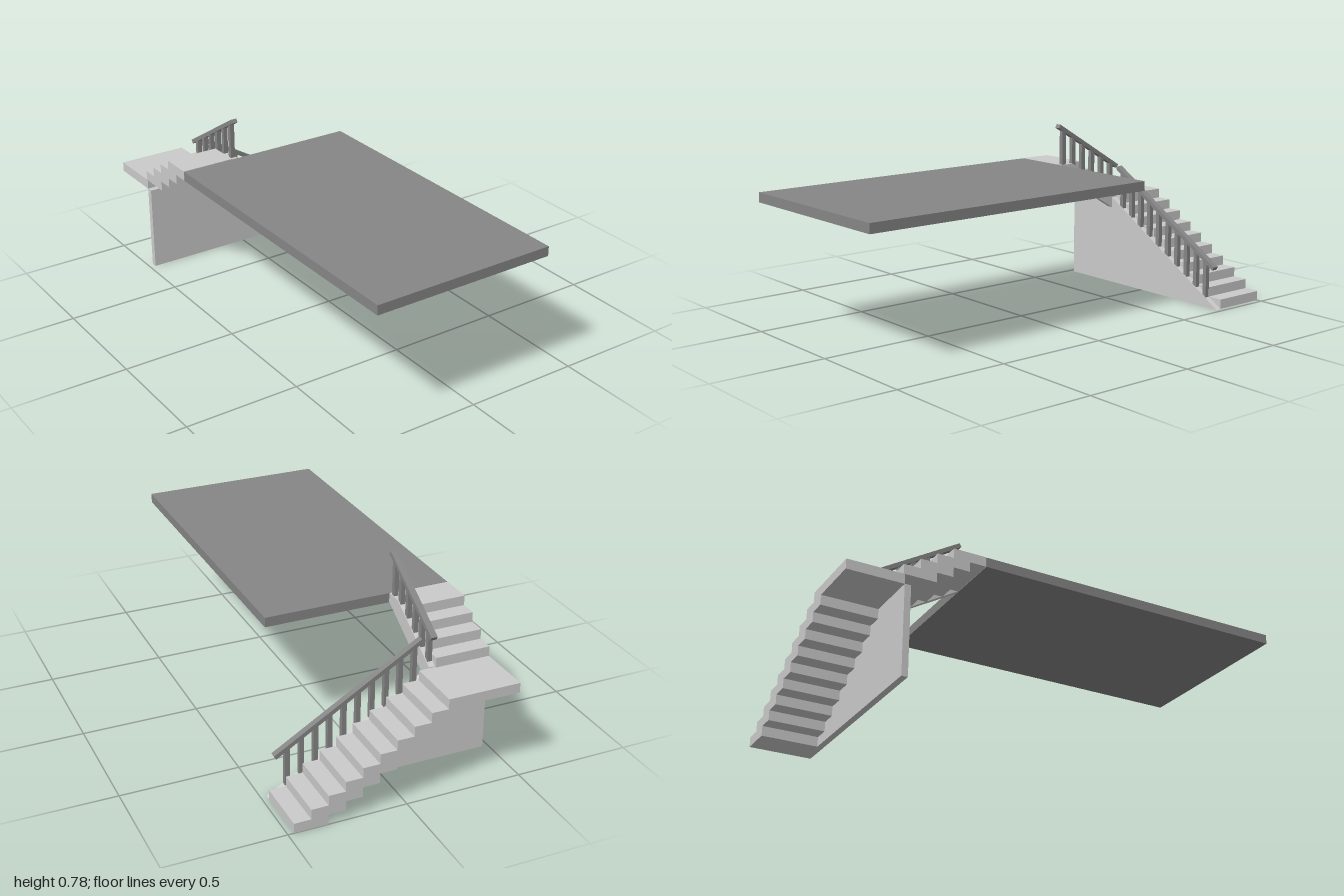
import * as THREE from 'three';

const RISE = 0.0427, RUN = 0.071, DEPTH = 2 * RUN;
const SLOPE = RISE / RUN;
const light = new THREE.MeshStandardMaterial({ color: 0xcccccc, flatShading: true });
const dark = new THREE.MeshStandardMaterial({ color: 0x868686, flatShading: true });

// Box given by its minimum and maximum corners
function box(name, material, [x0, y0, z0], [x1, y1, z1]) {
  const mesh = new THREE.Mesh(new THREE.BoxGeometry(x1 - x0, y1 - y0, z1 - z0), material);
  mesh.position.set((x0 + x1) / 2, (y0 + y1) / 2, (z0 + z1) / 2);
  mesh.name = name;
  return mesh;
}

// Upright plate: outline in the xy plane, extruded along +z
function plate(name, material, points, thickness) {
  const shape = new THREE.Shape(points.map(([x, y]) => new THREE.Vector2(x, y)));
  const mesh = new THREE.Mesh(
    new THREE.ExtrudeGeometry(shape, { depth: thickness, bevelEnabled: false }), material);
  mesh.name = name;
  return mesh;
}

// Sloping handrail with balusters in the xy plane, centred on z = 0
function railing(name, start, end, posts, footAt) {
  const group = new THREE.Group();
  group.name = name;
  const dx = end[0] - start[0], dy = end[1] - start[1];
  const rail = new THREE.Mesh(new THREE.BoxGeometry(Math.hypot(dx, dy), 0.018, 0.027), dark);
  rail.position.set((start[0] + end[0]) / 2, (start[1] + end[1]) / 2, 0);
  rail.rotation.z = Math.atan2(dy, dx);
  rail.name = 'handrail';
  group.add(rail);
  for (const x of posts) {
    const top = start[1] + (x - start[0]) * dy / dx;
    group.add(box('baluster', dark, [x - 0.01, footAt(x) - 0.006, -0.01], [x + 0.01, top, 0.01]));
  }
  return group;
}

export function createModel() {
  const model = new THREE.Group();
  model.name = 'staircase';

  // Upper floor
  model.add(box('upperFloor', dark, [-0.475, 0.555, -0.405], [0.34, 0.597, 1]));

  // Lower flight, climbing towards -x, and its landing
  for (let i = 0; i < 9; i++) {
    const x = 0.475 - i * RUN;
    model.add(box('lowerStep', light, [x - DEPTH, i * RISE, -1], [x, (i + 1) * RISE, -0.757]));
  }
  model.add(box('landing', light, [-0.475, 9 * RISE, -1], [-0.164, 10 * RISE, -0.757]));

  // Upper flight, climbing towards +z
  for (let i = 0; i < 4; i++) {
    const z = -0.763 + i * RUN;
    model.add(box('upperStep', light,
      [-0.475, (10 + i) * RISE, z], [-0.235, (11 + i) * RISE, Math.min(z + DEPTH, -0.405)]));
  }

  // Wall under the lower flight
  const wall = plate('supportWall', light, [
    [-0.475, 0], [0.475, 0], [-0.235, 0.71 * SLOPE], [-0.235, 0.385], [-0.475, 0.385],
  ], 0.027);
  wall.position.z = -0.757;
  model.add(wall);

  // Stringer and railing of the upper flight, drawn along x then turned so x runs along z
  const upperSide = new THREE.Group();
  upperSide.name = 'upperSide';
  upperSide.rotation.y = -Math.PI / 2;
  upperSide.position.x = -0.2215;
  const stringer = plate('upperStringer', light, [
    [-0.757, 0.347], [-0.405, 0.558], [-0.405, 0.597], [-0.48, 0.597], [-0.757, 0.43],
  ], 0.027);
  stringer.position.z = -0.0135;
  upperSide.add(stringer);
  upperSide.add(railing('upperRailing', [-0.762, 0.557], [-0.4, 0.776],
    Array.from({ length: 6 }, (_, i) => -0.43 - i * 0.059),
    (z) => Math.min(0.597, 0.427 + (z + 0.763) * SLOPE)));
  model.add(upperSide);

  // Railing of the lower flight
  const lower = railing('lowerRailing', [-0.177, 0.556], [0.448, 0.181],
    Array.from({ length: 10 }, (_, i) => -0.145 + i * 0.06),
    (x) => (0.475 - x) * SLOPE);
  lower.position.z = -0.7435;
  model.add(lower);

  return model;
}
